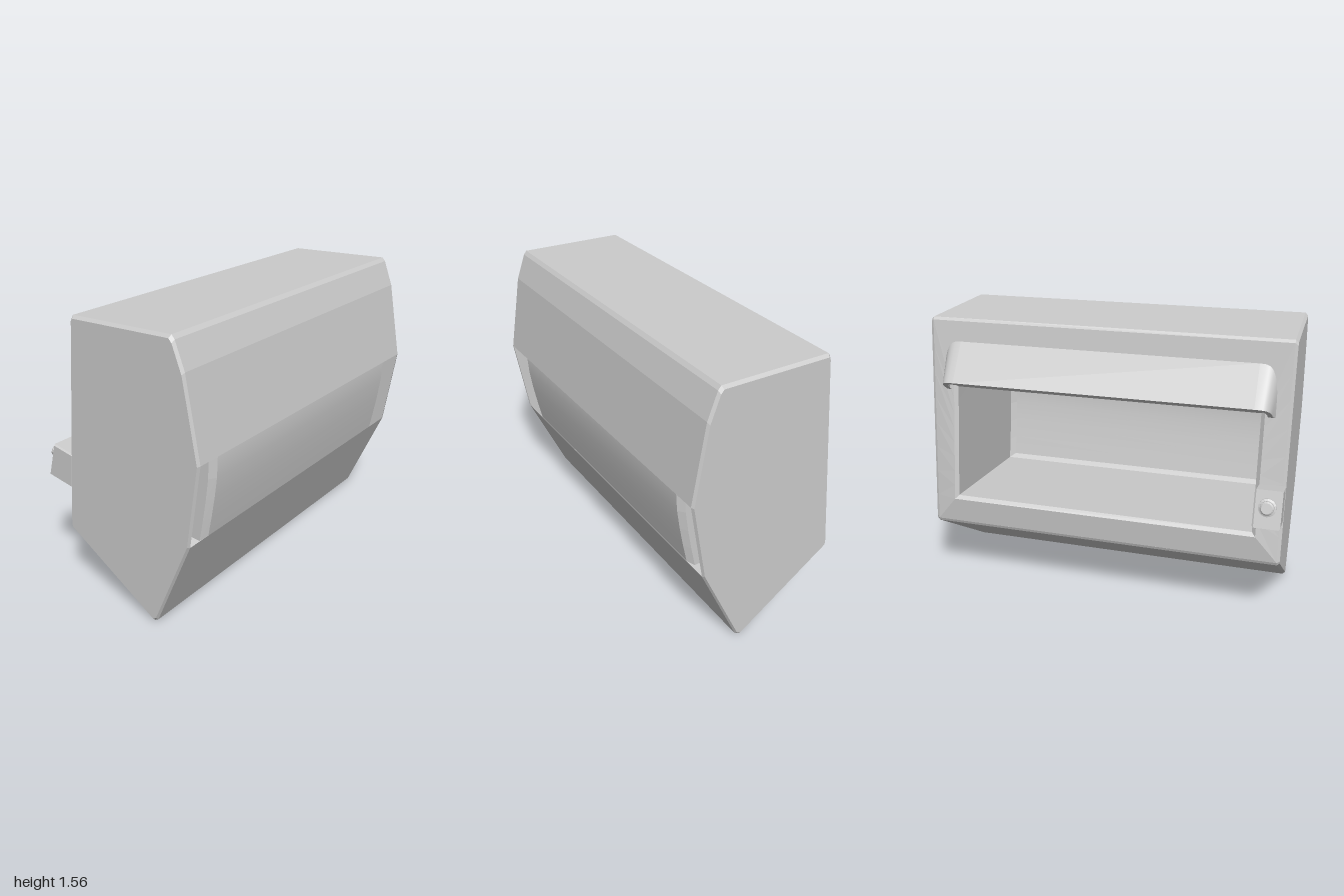
import * as THREE from 'three';

const flat = new THREE.MeshStandardMaterial({ color: 0xcccccc, flatShading: true, side: THREE.DoubleSide });
const smooth = new THREE.MeshStandardMaterial({ color: 0xcccccc, side: THREE.DoubleSide });

// Skins neighbouring rings of [x, y, z] points; skip(ring, segment) leaves a gap.
function loft(rings, closed = true, skip = () => false) {
  const n = rings[0].length, index = [];
  for (let r = 0; r < rings.length - 1; r++) {
    for (let i = 0; i < (closed ? n : n - 1); i++) {
      if (skip(r, i)) continue;
      const j = (i + 1) % n, a = r * n + i, b = r * n + j;
      index.push(a, b, b + n, a, b + n, a + n);
    }
  }
  const g = new THREE.BufferGeometry();
  g.setAttribute('position', new THREE.Float32BufferAttribute(rings.flat(2), 3));
  g.setIndex(index);
  g.computeVertexNormals();
  return g;
}

function add(parent, name, geometry, material = flat) {
  const m = new THREE.Mesh(geometry, material);
  m.name = name;
  parent.add(m);
  return m;
}

const lerp = THREE.MathUtils.lerp;
const backZ = (y) => -0.245 - (1.53 - y) * 0.101; // sloping back plane

function createHousing(group) {
  // Side outline as [z, y], from the top front edge down and round
  const outline = [
    [0.375, 1.56], [0.392, 1.54], [0.445, 1.4], [0.522, 0.97], [0.45, 0.52], [0.225, 0.012],
    [0.205, 0], [-0.355, 0.355], [-0.362, 0.372], [-0.245, 1.53], [-0.235, 1.545],
  ];
  const ring = (x, s) => outline.map(([z, y]) => [x, 0.8 + (y - 0.8) * s, 0.08 + (z - 0.08) * s]);
  const rings = [ring(-1, 0), ring(-1, 0.98), ring(-0.985, 1), ring(0.985, 1), ring(1, 0.98), ring(1, 0)];
  // The front slot and the back stay open
  add(group, 'housing', loft(rings, true, (r, i) => r === 2 && (i === 3 || i === 8)));
}

function createCavity(group) {
  const N = 8;
  const steps = Array.from({ length: N + 1 }, (_, i) => i / N);
  // A ring is a right-hand column going up and a left-hand column going down
  const ring = (x, y0, y1, zOf) => {
    const col = (sx) => steps.map((t) => [sx * x, lerp(y0, y1, t), zOf(lerp(y0, y1, t), t)]);
    return [...col(-1), ...col(1).reverse()];
  };
  const curve = new THREE.CatmullRomCurve3([
    [0.435, 0.5], [0.478, 0.74], [0.5, 0.97], [0.46, 1.2], [0.39, 1.41],
  ].map(([z, y]) => new THREE.Vector3(0, y, z)));
  const screenZ = (y, t) => curve.getPoint(t).z;
  const rim = ring(0.865, 0.515, 1.18, (y, t) => backZ(y) - lerp(0.03, 0.008, t));
  const mouth = ring(0.845, 0.535, 1.165, (y, t) => backZ(y) - lerp(0.015, -0.007, t));
  const inner = ring(0.86, 0.48, 1.43, (y, t) => screenZ(y, t) - 0.03);
  const edge = ring(0.83, 0.5, 1.41, screenZ);
  add(group, 'backFrame', loft([ring(0.985, 0.372, 1.53, backZ), rim, mouth]));
  add(group, 'cavityWalls', loft([mouth, inner, edge]));
  // Curved screen seen through the front slot
  const right = edge.slice(0, N + 1);
  add(group, 'screen', loft([right, right.map(([x, y, z]) => [-x, y, z])], false), smooth);
}

function createHood(group) {
  // Arch with rounded corners; base lies on the back frame, lip sticks out
  const K = 10, base = [], lip = [], baseIn = [], lipIn = [];
  for (const s of [-1, 1]) {
    for (let k = 0; k <= K; k++) {
      const a = (s < 0 ? k / K : 1 - k / K) * Math.PI / 2;
      const c = Math.pow(Math.max(Math.cos(a), 0), 0.6), q = Math.pow(Math.sin(a), 0.6);
      const point = (w, y, z) => [s * (0.82 + w * c), y, z];
      const y = 1.15 + 0.27 * q, yi = 1.15 + 0.24 * q;
      base.push(point(0.1, y, backZ(y) - 0.002));
      lip.push(point(0.085, 1.15 + 0.067 * q, -0.29 - 0.1 * q));
      baseIn.push(point(0.075, yi, backZ(yi) - 0.002));
      lipIn.push(point(0.06, 1.15 + 0.052 * q, -0.29 - 0.078 * q));
    }
  }
  add(group, 'hoodShell', loft([base, lip], false), smooth);
  add(group, 'hoodRim', loft([lip, lipIn], false));
  add(group, 'hoodInside', loft([lipIn, baseIn], false), smooth);
}

function createKnobBox(group) {
  const unit = new THREE.Group();
  unit.name = 'knobBox';
  group.add(unit);
  // Wedge-shaped box, profile [z, y], with chamfered sides
  const profile = [[-0.31, 0.795], [-0.445, 0.82], [-0.5, 0.63], [-0.33, 0.6]];
  const ring = (x, s) => profile.map(([z, y]) => [x, 0.71 + (y - 0.71) * s, -0.4 + (z + 0.4) * s]);
  const rings = [ring(-0.855, 0), ring(-0.855, 0.93), ring(-0.863, 1), ring(-0.99, 1), ring(-0.998, 0.93), ring(-0.998, 0)];
  add(unit, 'box', loft(rings));
  // Stepped push knob standing on the sloping face
  const knob = new THREE.LatheGeometry([
    [0, 0.052], [0.028, 0.052], [0.036, 0.045], [0.036, 0.022], [0.047, 0.018], [0.047, -0.01],
  ].reverse().map(([r, h]) => new THREE.Vector2(r, h)), 16);
  const m = add(unit, 'knob', knob);
  m.position.set(-0.926, 0.735, -0.467);
  m.rotation.x = -Math.PI / 2 + 0.28;
}

export function createModel() {
  const group = new THREE.Group();
  group.name = 'displayHousing';
  createHousing(group);
  createCavity(group);
  createHood(group);
  createKnobBox(group);
  return group;
}
